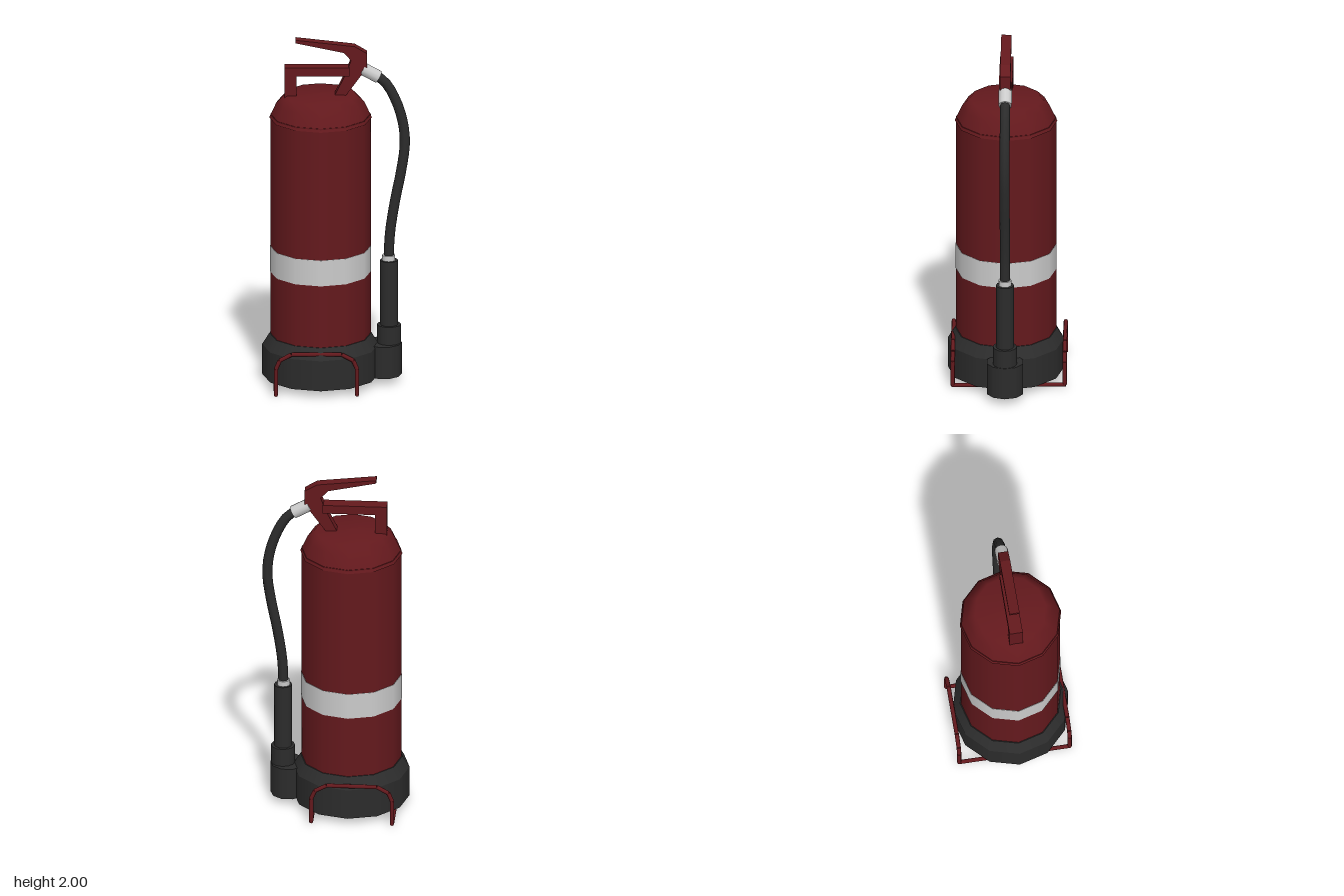
import * as THREE from 'three';

const RED = 0x64191d, BLACK = 0x2c2c2c, GREY = 0xcccccc;

function mat(color, extra = {}) {
  return new THREE.MeshStandardMaterial({ color, ...extra });
}

function add(parent, name, geometry, color, extra) {
  const mesh = new THREE.Mesh(geometry, mat(color, extra));
  mesh.name = name;
  parent.add(mesh);
  return mesh;
}

// Upright cylinder between two heights
function column(parent, name, r, y0, y1, z, color, sides = 12, rTop = r) {
  const mesh = add(parent, name, new THREE.CylinderGeometry(rTop, r, y1 - y0, sides), color);
  mesh.position.set(0, (y0 + y1) / 2, z);
  return mesh;
}

// Round bar between two points
function rod(parent, name, a, b, r, color, sides = 8) {
  const dir = b.clone().sub(a);
  const mesh = add(parent, name, new THREE.CylinderGeometry(r, r, dir.length(), sides), color);
  mesh.position.copy(a).add(b).multiplyScalar(0.5);
  mesh.quaternion.setFromUnitVectors(new THREE.Vector3(0, 1, 0), dir.normalize());
  return mesh;
}

// Side profile given as [z, y], extruded across the width
function sidePlate(parent, name, points, width) {
  const shape = new THREE.Shape(points.map(([z, y]) => new THREE.Vector2(-z, y)));
  const geo = new THREE.ExtrudeGeometry(shape, { depth: width, bevelEnabled: false });
  geo.translate(0, 0, -width / 2);
  geo.rotateY(Math.PI / 2);
  return add(parent, name, geo, RED, { flatShading: true });
}

const lathe = (pts, sides = 12) =>
  new THREE.LatheGeometry(pts.map(([r, y]) => new THREE.Vector2(r, y)), sides);

export function createModel() {
  const root = new THREE.Group();
  root.name = 'fireExtinguisher';
  const model = new THREE.Group();
  model.name = 'body';
  model.rotation.y = THREE.MathUtils.degToRad(36);
  root.add(model);

  // Tank, band and shoulder
  column(model, 'tank', 0.28, 0.2, 1.56, 0, RED);
  column(model, 'band', 0.282, 0.64, 0.79, 0, GREY);
  add(model, 'shoulder', lathe([[0.286, 1.54], [0.245, 1.63], [0.2, 1.675], [0, 1.685]]), RED);
  add(model, 'shoulderLip', lathe([[0.275, 1.54], [0.286, 1.54]]), RED, { side: THREE.DoubleSide });

  // Rubber foot with a chamfered top
  column(model, 'foot', 0.325, 0.04, 0.215, 0, BLACK);
  column(model, 'footChamfer', 0.325, 0.215, 0.28, 0, BLACK, 12, 0.285);

  // Carrying handle
  sidePlate(model, 'carryHandle', [
    [-0.2, 1.66], [-0.135, 1.66], [-0.135, 1.79], [0.16, 1.79], [0.16, 1.84], [-0.2, 1.84],
  ], 0.074);

  // Valve and squeeze lever
  sidePlate(model, 'valveLever', [
    [-0.14, 1.982], [0.13, 1.925], [0.17, 1.88], [0.14, 1.8], [0.07, 1.66],
    [0.13, 1.66], [0.26, 1.84], [0.26, 1.92], [0.19, 1.962], [-0.14, 2.0],
  ], 0.058);

  // Hose and its fittings
  rod(model, 'hoseConnector', new THREE.Vector3(0, 1.825, 0.235),
    new THREE.Vector3(0, 1.775, 0.325), 0.037, GREY, 12);
  const hosePath = new THREE.CatmullRomCurve3([
    [1.8, 0.29], [1.745, 0.36], [1.65, 0.415], [1.52, 0.457], [1.39, 0.47],
    [1.23, 0.45], [1.05, 0.415], [0.86, 0.387], [0.71, 0.38],
  ].map(([y, z]) => new THREE.Vector3(0, y, z)));
  add(model, 'hose', new THREE.TubeGeometry(hosePath, 24, 0.028, 8), BLACK);
  column(model, 'hoseRing', 0.036, 0.69, 0.735, 0.38, GREY);

  // Discharge horn
  column(model, 'hornGrip', 0.05, 0.3, 0.705, 0.382, BLACK);
  column(model, 'hornCollar', 0.067, 0.21, 0.33, 0.382, BLACK);
  const horn = column(model, 'horn', 0.1, 0.04, 0.225, 0.353, BLACK, 10);
  horn.scale.x = 1.06;

  // Wire stand: a hoop on each side joined by two floor bars
  const stand = new THREE.Group();
  stand.name = 'wireStand';
  stand.position.set(0.018, 0, -0.024);
  model.add(stand);
  const r = 0.012, floorY = { '-1': 0.012, '1': 0.022 };
  for (const s of [-1, 1]) {
    const hoop = [
      [-0.226, floorY[s]], [-0.226, 0.16], [-0.205, 0.21], [-0.14, 0.245],
      [0.14, 0.245], [0.205, 0.21], [0.226, 0.16], [0.226, floorY[s]],
    ].map(([z, y]) => new THREE.Vector3(s * 0.312, y, z));
    for (let i = 1; i < hoop.length; i++) rod(stand, 'standHoop', hoop[i - 1], hoop[i], r, RED);
    rod(stand, 'standFloorBar', new THREE.Vector3(-0.318, floorY[-1], s * 0.226),
      new THREE.Vector3(0.318, floorY[1], s * 0.226), r, RED);
  }

  return root;
}
